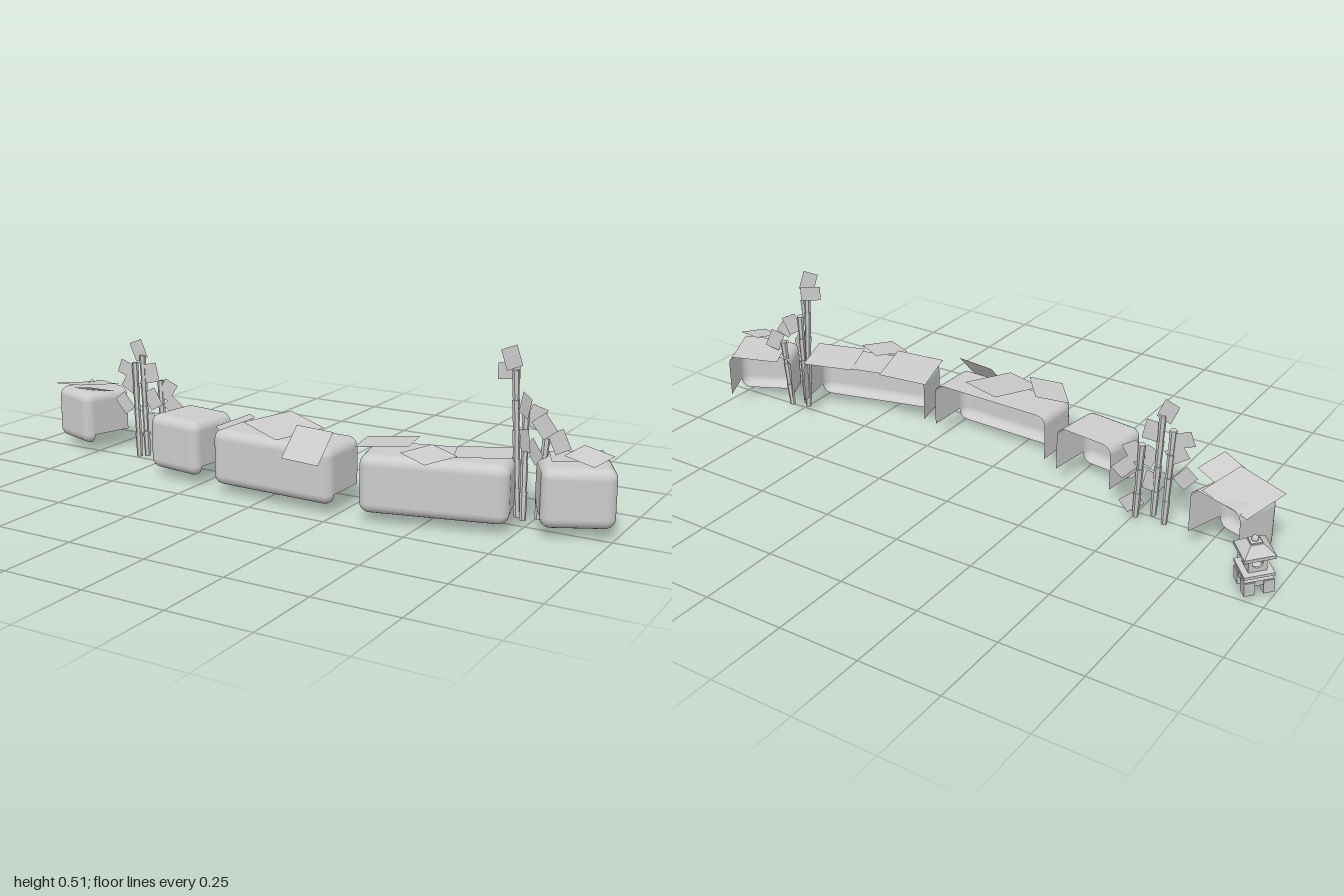
import * as THREE from 'three';
import { RoundedBoxGeometry } from 'three/addons/geometries/RoundedBoxGeometry.js';

const smooth = new THREE.MeshStandardMaterial({ color: 0xcccccc, side: THREE.DoubleSide });
const flat = new THREE.MeshStandardMaterial({ color: 0xcccccc, side: THREE.DoubleSide, flatShading: true });

function add(parent, name, geometry, x, y, z, material = flat) {
  const mesh = new THREE.Mesh(geometry, material);
  mesh.name = name;
  mesh.position.set(x, y, z);
  parent.add(mesh);
  return mesh;
}

// Rounded stone shell, open at the back and underneath
function stoneShell(w, h, d, r = 0.03) {
  const D = d + r;
  const src = new RoundedBoxGeometry(w, h, D, 3, r);
  const g = src.index ? src.toNonIndexed() : src;
  const p = g.attributes.position, n = g.attributes.normal;
  const pos = [], nor = [];
  for (let i = 0; i < p.count; i += 3) {
    const cy = (p.getY(i) + p.getY(i + 1) + p.getY(i + 2)) / 3;
    const cz = (p.getZ(i) + p.getZ(i + 1) + p.getZ(i + 2)) / 3;
    const back = cz < -D / 2 + r - 1e-4;
    const under = cy < -h / 2 + r - 1e-4 && cz < D / 2 - r;
    if (back || under) continue;
    for (let k = i; k < i + 3; k++) {
      pos.push(p.getX(k), p.getY(k), p.getZ(k) - r / 2);
      nor.push(n.getX(k), n.getY(k), n.getZ(k));
    }
  }
  const out = new THREE.BufferGeometry();
  out.setAttribute('position', new THREE.Float32BufferAttribute(pos, 3));
  out.setAttribute('normal', new THREE.Float32BufferAttribute(nor, 3));
  return out;
}

// Thin moss sheet lying on the stones
function mossSheet(parent, [x, y, z, w, d, yaw, tiltX, tiltZ]) {
  const g = new THREE.PlaneGeometry(w, d).rotateX(-Math.PI / 2);
  add(parent, 'mossSheet', g, x, y, z).rotation.set(tiltX, yaw, tiltZ, 'YXZ');
}

// Jointed stalk from a to b
function stalk(parent, a, b, joints) {
  const from = new THREE.Vector3(...a), to = new THREE.Vector3(...b);
  const dir = to.clone().sub(from), len = dir.length() / joints;
  const turn = new THREE.Quaternion().setFromUnitVectors(new THREE.Vector3(0, 1, 0), dir.clone().normalize());
  for (let i = 0; i < joints; i++) {
    const c = from.clone().addScaledVector(dir, (i + 0.5) / joints);
    add(parent, 'stalkJoint', new THREE.CylinderGeometry(0.011, 0.009, len, 6), c.x, c.y, c.z).quaternion.copy(turn);
  }
}

function leaf(parent, [x, y, z, roll, yaw]) {
  add(parent, 'leaf', new THREE.PlaneGeometry(0.046, 0.062), x, y, z).rotation.set(0, yaw, roll, 'YXZ');
}

// Small square garden lantern, built around its own base
function lantern() {
  const g = new THREE.Group();
  g.name = 'lantern';
  const slab = (name, top, bottom, h, y) => {
    const geo = new THREE.CylinderGeometry(top * Math.SQRT1_2, bottom * Math.SQRT1_2, h, 4).rotateY(Math.PI / 4);
    return add(g, name, geo, 0, y, 0);
  };
  // Feet on the four corners
  for (const sx of [-1, 1]) for (const sz of [-1, 1])
    add(g, 'foot', new THREE.BoxGeometry(0.03, 0.042, 0.03), sx * 0.027, 0.021, sz * 0.027);
  slab('footPlate', 0.078, 0.078, 0.016, 0.036);
  slab('baseTaper', 0.082, 0.05, 0.012, 0.05);
  slab('baseSlab', 0.085, 0.085, 0.009, 0.06);
  // Lamp box with a round window on each side
  for (let i = 0; i < 4; i++) {
    const s = new THREE.Shape([[-0.026, 0], [0.026, 0], [0.026, 0.052], [-0.026, 0.052]].map(q => new THREE.Vector2(...q)));
    const hole = new THREE.Path();
    hole.absarc(0, 0.028, 0.015, 0, Math.PI * 2, true);
    s.holes.push(hole);
    const panel = new THREE.ExtrudeGeometry(s, { depth: 0.006, bevelEnabled: false, curveSegments: 8 });
    panel.translate(0, 0, 0.02).rotateY(i * Math.PI / 2);
    add(g, 'lampPanel', panel, 0, 0.064, 0);
  }
  // Roof and finial
  slab('eaves', 0.088, 0.088, 0.01, 0.118);
  slab('roof', 0.035, 0.088, 0.025, 0.135);
  slab('roofCap', 0.03, 0.03, 0.005, 0.149);
  add(g, 'finial', new THREE.SphereGeometry(0.01, 8, 6), 0, 0.156, 0, smooth);
  return g;
}

export function createModel() {
  const root = new THREE.Group();
  root.name = 'gardenBorder';

  // Curved row of stones: x, z, width, depth, yaw
  const stones = [
    [-0.82, -0.055, 0.18, 0.16, -0.32], [-0.33, 0.075, 0.195, 0.165, -0.13],
    [0.04, 0.122, 0.41, 0.16, -0.03], [0.52, 0.083, 0.42, 0.165, 0.25],
    [0.883, -0.03, 0.205, 0.15, 0.47],
  ];
  for (const [x, z, w, d, yaw] of stones)
    add(root, 'stone', stoneShell(w, 0.17, d), x, 0.113, z, smooth).rotation.y = yaw;

  // Moss sheets: x, y, z, width, depth, yaw, tilt about x, tilt about z
  [
    [-0.845, 0.205, -0.06, 0.16, 0.16, -0.3, -0.12, 0.12], [-0.755, 0.21, 0.012, 0.11, 0.1, -0.45, -0.25, 0.2],
    [-0.1, 0.222, 0.165, 0.11, 0.11, 0.72, -0.15, 0.3], [0.04, 0.222, 0.12, 0.17, 0.17, -0.42, 0.06, -0.1],
    [0.17, 0.2, 0.205, 0.13, 0.11, -0.12, 0.85, 0], [0.365, 0.212, 0.085, 0.155, 0.165, 0.26, -0.08, 0.08],
    [0.525, 0.213, 0.155, 0.115, 0.11, -0.5, 0.08, -0.06], [0.635, 0.205, 0.03, 0.16, 0.15, 0.34, -0.06, 0.03],
    [0.873, 0.208, -0.06, 0.15, 0.15, 0.42, -0.08, 0.05], [0.925, 0.23, 0, 0.1, 0.09, -0.3, 0.15, -0.12],
  ].forEach(m => mossSheet(root, m));

  // Two clumps of jointed stalks: base, tip, joints
  const clump = new THREE.Group();
  clump.name = 'stalkClumps';
  root.add(clump);
  [
    [[-0.595, 0, -0.015], [-0.61, 0.31, -0.022], 4], [[-0.555, 0.01, -0.005], [-0.57, 0.34, -0.01], 4],
    [[-0.515, 0.012, -0.04], [-0.53, 0.255, -0.05], 3],
    [[0.72, 0.02, -0.015], [0.705, 0.44, -0.003], 5], [[0.745, 0.02, 0.005], [0.735, 0.34, -0.012], 4],
    [[0.775, 0.02, -0.03], [0.785, 0.25, -0.045], 3],
  ].forEach(s => stalk(clump, ...s));

  // Leaves: x, y, z, roll, yaw
  [
    [-0.585, 0.355, -0.01, 0.4, 0.1], [-0.64, 0.285, -0.02, 1.2, 0.1], [-0.655, 0.17, -0.022, 0.7, 0.05],
    [-0.625, 0.235, -0.02, 1.0, 0.1], [-0.54, 0.285, -0.012, 0.2, 0.3], [-0.505, 0.225, -0.05, -0.5, 0.35],
    [-0.48, 0.17, -0.055, 0.8, 0.3], [-0.5, 0.055, -0.04, 0.9, 0.2], [-0.545, 0.12, -0.008, 0.2, 0.1],
    [-0.535, 0.2, -0.012, 0.5, 0.2],
    [0.688, 0.47, -0.015, 0.3, 0.6], [0.68, 0.432, -0.018, 1.57, 0.6], [0.745, 0.35, 0.017, -0.3, -0.6],
    [0.79, 0.29, -0.015, 0.6, 0.5], [0.745, 0.25, 0.012, 0.2, -0.6], [0.775, 0.225, 0.018, 0.8, -0.5],
    [0.825, 0.245, -0.04, 0.4, 0.4], [0.76, 0.31, -0.025, -0.4, 0.5],
  ].forEach(l => leaf(clump, l));

  // Lantern leaning slightly backwards
  const lamp = lantern();
  lamp.position.set(-0.942, 0.014, -0.182);
  lamp.rotation.set(-0.14, 0.75, 0, 'XYZ');
  root.add(lamp);
  return root;
}
